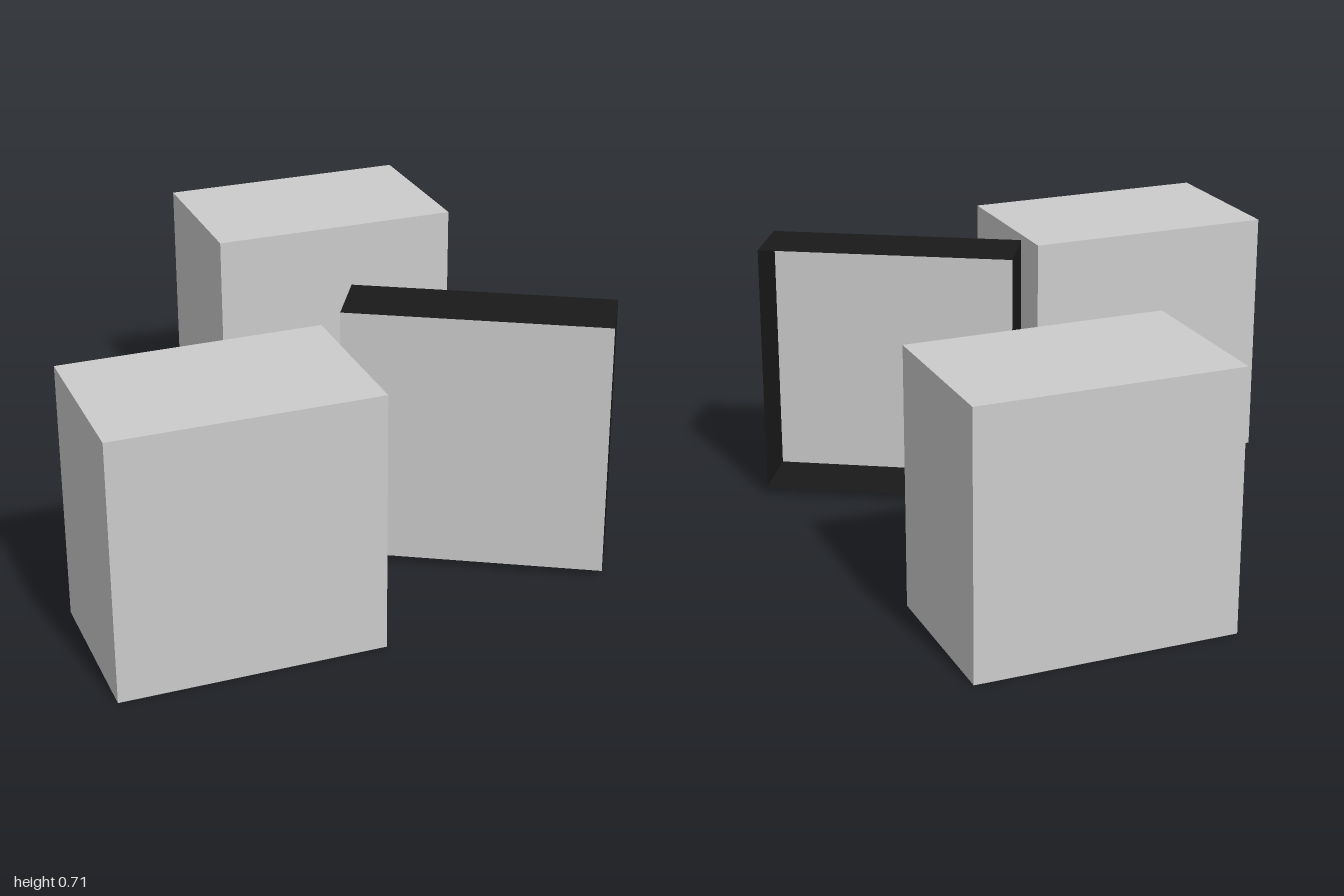
import * as THREE from 'three';

export function createModel() {
  const group = new THREE.Group();
  const grey = new THREE.MeshStandardMaterial({ color: 0xcccccc, flatShading: true });
  const greySheet = new THREE.MeshStandardMaterial({ color: 0xcccccc, side: THREE.DoubleSide });
  const black = new THREE.MeshStandardMaterial({ color: 0x1a1a1a, side: THREE.DoubleSide });

  // two solid blocks, turned 30 degrees
  for (const [name, z] of [['frontBlock', 0.63], ['backBlock', -0.63]]) {
    const block = new THREE.Mesh(new THREE.BoxGeometry(0.69, 0.69, 0.45), grey);
    block.name = name;
    block.position.set(-0.256, 0.345, z);
    block.rotation.y = Math.PI / 6;
    group.add(block);
  }

  // shallow tray standing on edge: grey front sheet, thin black rim, open back
  const size = 0.693, depth = 0.19;
  const tray = new THREE.Group();
  tray.name = 'tray';
  tray.position.set(0.32, 0.367, 0.136);

  const sheet = new THREE.Mesh(new THREE.PlaneGeometry(size, size), greySheet);
  sheet.name = 'traySheet';
  sheet.position.z = depth / 2;
  tray.add(sheet);

  ['trayTop', 'trayLeft', 'trayBottom', 'trayRight'].forEach((name, i) => {
    const geometry = new THREE.PlaneGeometry(size, depth)
      .rotateX(-Math.PI / 2)
      .translate(0, size / 2, 0)
      .rotateZ(-i * Math.PI / 2);
    const wall = new THREE.Mesh(geometry, black);
    wall.name = name;
    tray.add(wall);
  });
  group.add(tray);

  return group;
}
